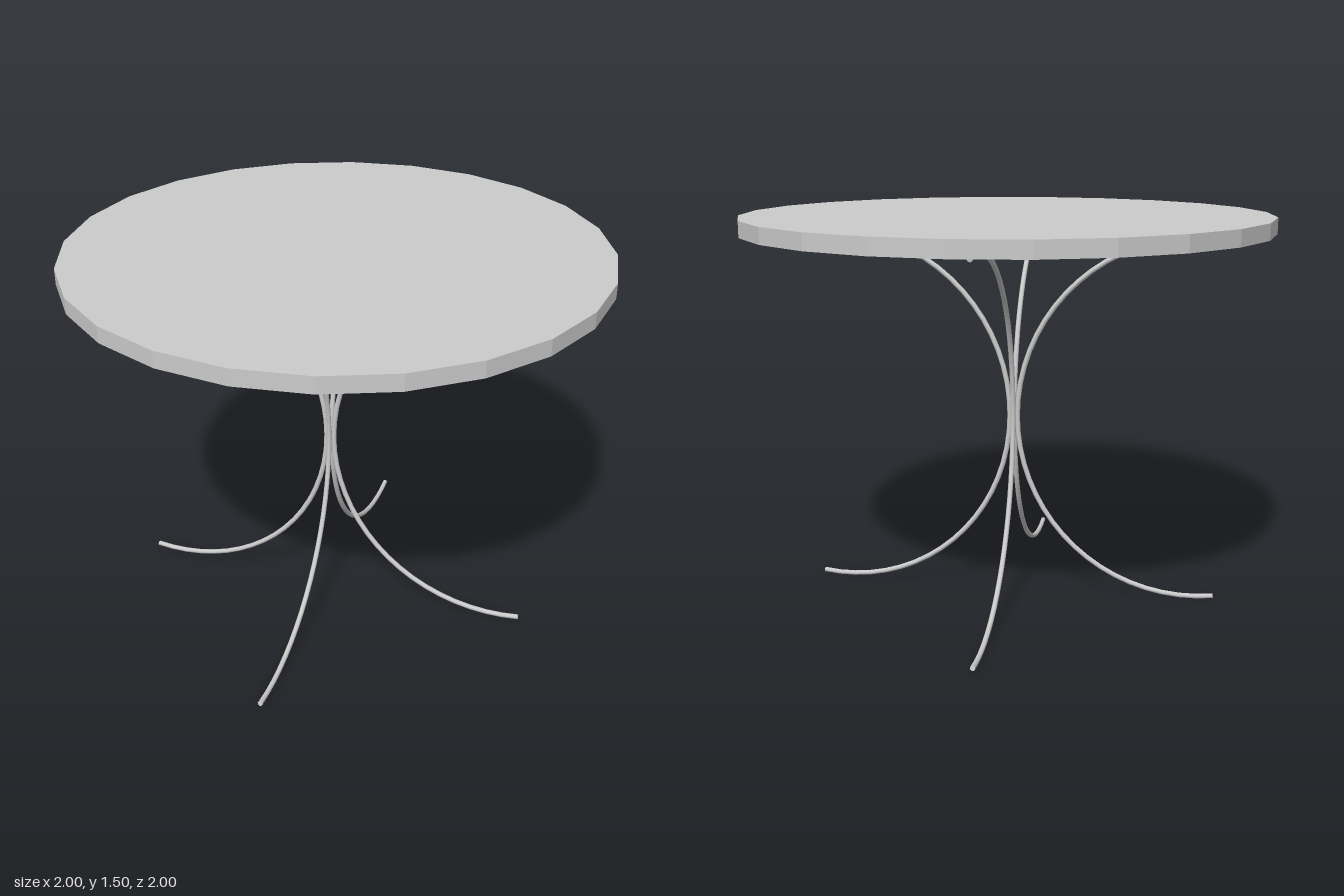
import * as THREE from 'three';

const material = new THREE.MeshStandardMaterial({ color: 0xcccccc });
const flatMaterial = new THREE.MeshStandardMaterial({ color: 0xcccccc, flatShading: true });

// C-shaped leg centreline: an arc bulging towards the axis, open side outwards
class LegCurve extends THREE.Curve {
  getPoint(t, target = new THREE.Vector3()) {
    const over = 0.144;
    const a = Math.PI / 2 - over + t * (Math.PI + 2 * over);
    return target.set(0.7 + 0.685 * Math.cos(a), 0.717 + 0.707 * Math.sin(a), 0);
  }
}

function createLeg() {
  const leg = new THREE.Group();
  const curve = new LegCurve();
  const radius = 0.01;
  const rod = new THREE.Mesh(new THREE.TubeGeometry(curve, 36, radius, 8), material);
  rod.name = 'legRod';
  leg.add(rod);
  // Flat caps close both rod ends
  for (const t of [0, 1]) {
    const cap = new THREE.Mesh(new THREE.CircleGeometry(radius, 8), material);
    cap.name = 'legEndCap';
    const point = curve.getPoint(t);
    const outward = curve.getTangent(t).multiplyScalar(t === 0 ? -1 : 1);
    cap.position.copy(point);
    cap.quaternion.setFromUnitVectors(new THREE.Vector3(0, 0, 1), outward);
    leg.add(cap);
  }
  return leg;
}

export function createModel() {
  const table = new THREE.Group();
  table.name = 'roundTable';

  // Round top with 24 sides
  const top = new THREE.Mesh(new THREE.CylinderGeometry(1, 1, 0.06, 24), flatMaterial);
  top.name = 'tableTop';
  top.position.y = 1.47;
  table.add(top);

  // Four legs back to back, set slightly off the centre of the top
  const base = new THREE.Group();
  base.name = 'base';
  base.position.set(-0.025, 0, 0.01);
  for (let i = 0; i < 4; i++) {
    const leg = createLeg();
    leg.name = 'leg' + (i + 1);
    leg.rotation.y = (i * Math.PI) / 2;
    base.add(leg);
  }
  table.add(base);
  return table;
}
